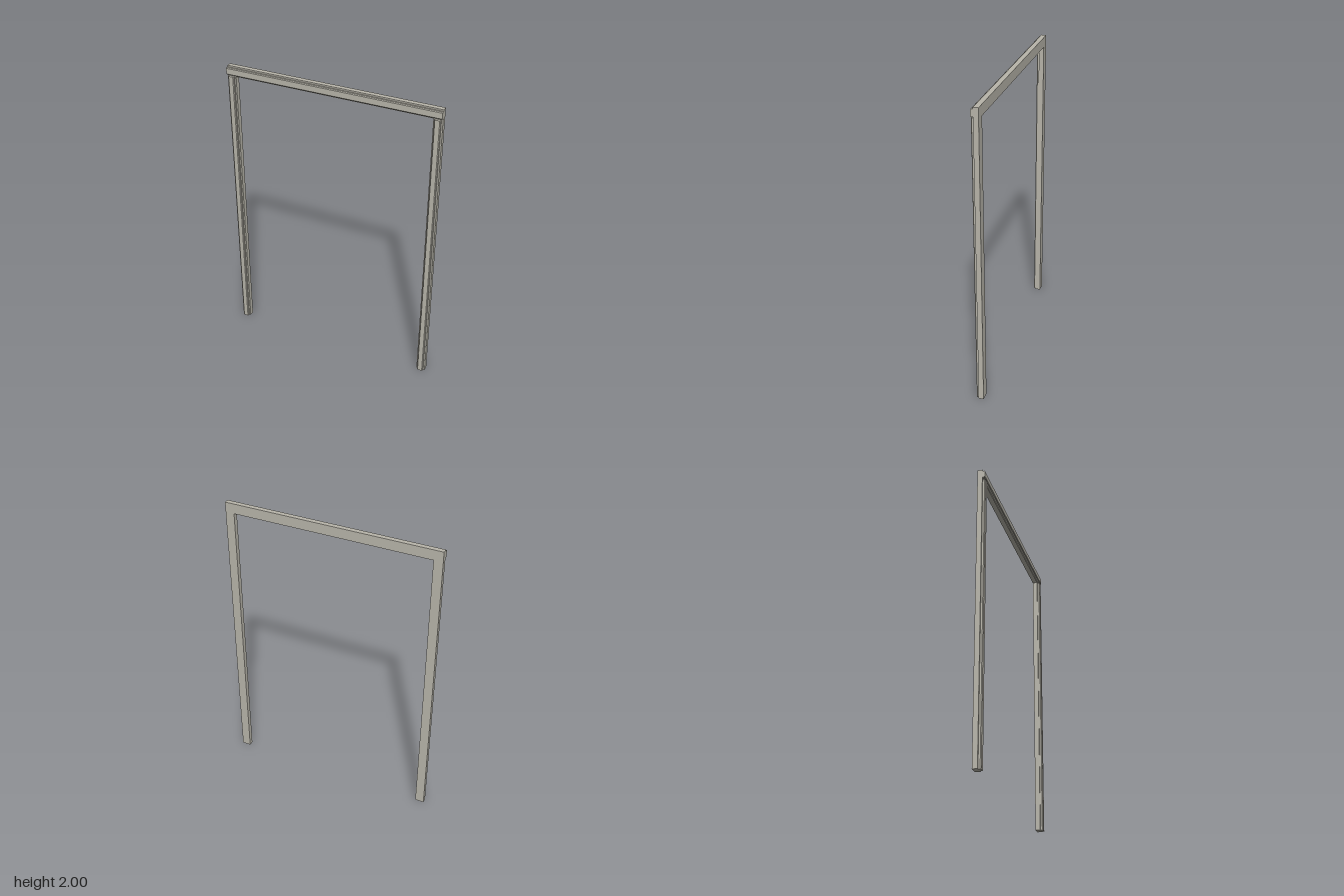
import * as THREE from 'three';

const W = 1.45, H = 2, POST_W = 0.06, LINTEL_H = 0.068;
const BACK = -0.025, SHOULDER = 0.008, FRONT = 0.025, EDGE = 0.01, BEVEL = 0.005;

// Moulding bar standing on y = 0: flat back, stepped shoulders, raised bevelled front band
function moulding(width, length) {
  const h = width / 2, b = h - EDGE;
  const shape = new THREE.Shape([
    [-h, BACK], [h, BACK], [h, SHOULDER], [b, SHOULDER], [b, FRONT - BEVEL],
    [b - BEVEL, FRONT], [-b + BEVEL, FRONT], [-b, FRONT - BEVEL], [-b, SHOULDER], [-h, SHOULDER],
  ].map(([x, z]) => new THREE.Vector2(x, z)));
  return new THREE.ExtrudeGeometry(shape, { depth: length, bevelEnabled: false })
    .rotateX(Math.PI / 2)
    .translate(0, length, 0);
}

export function createModel() {
  const model = new THREE.Group();
  model.name = 'doorFrame';
  const paint = new THREE.MeshStandardMaterial({ color: 0xb8b5aa });
  paint.name = 'warmGreyPaint';

  // Two upright posts
  const postGeometry = moulding(POST_W, H - LINTEL_H);
  for (const [name, side] of [['leftPost', 1], ['rightPost', -1]]) {
    const post = new THREE.Mesh(postGeometry, paint);
    post.name = name;
    post.position.x = side * (W - POST_W) / 2;
    model.add(post);
  }

  // Lintel across the top
  const lintel = new THREE.Mesh(
    moulding(LINTEL_H, W).translate(0, -W / 2, 0).rotateZ(Math.PI / 2), paint);
  lintel.name = 'lintel';
  lintel.position.y = H - LINTEL_H / 2;
  model.add(lintel);

  return model;
}
